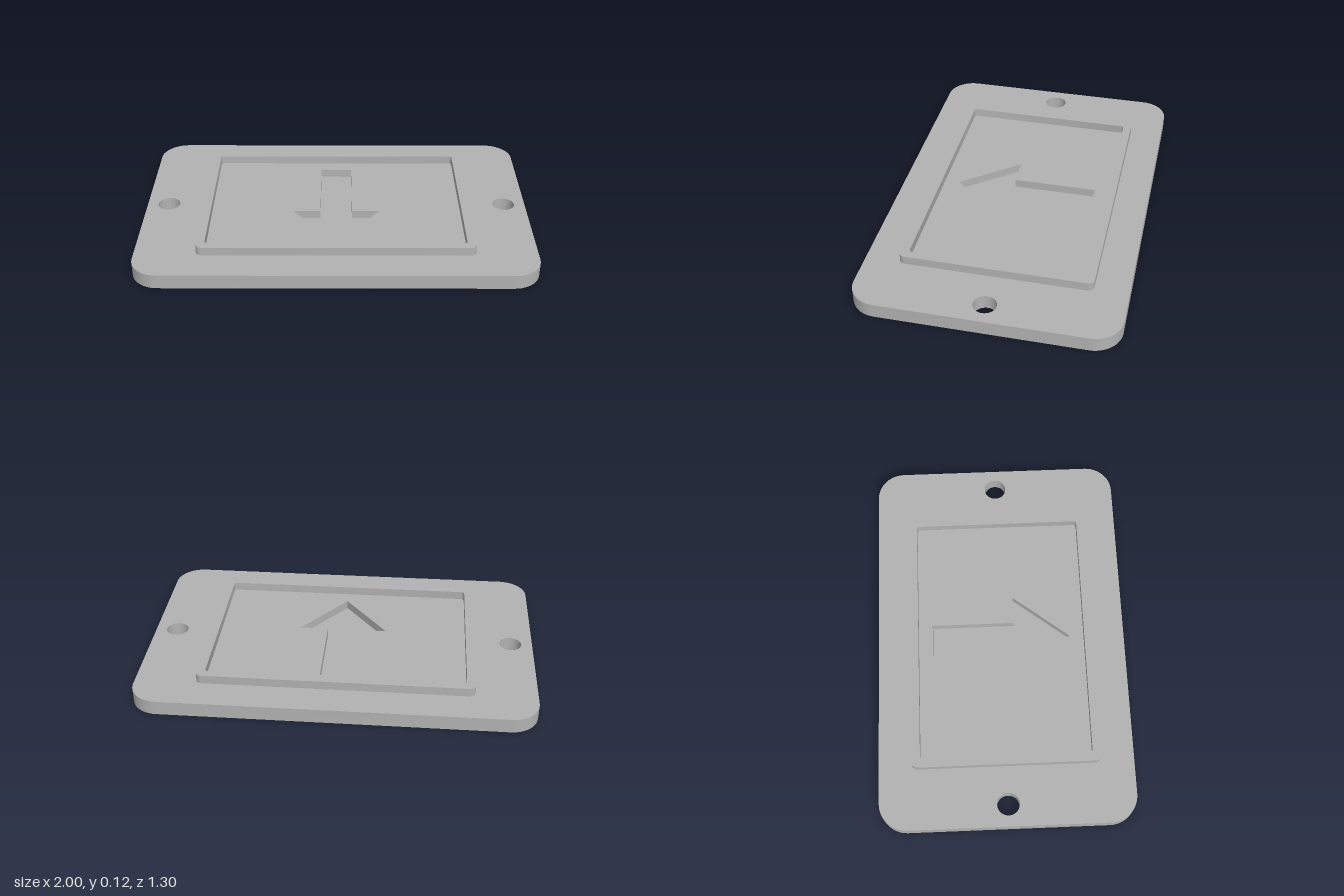
import * as THREE from 'three';
import { toCreasedNormals } from 'three/addons/utils/BufferGeometryUtils.js';

// Heights of the levels
const ARROW_FLOOR = 0.03, PLATE_TOP = 0.075, RIM_TOP = 0.12;

// Outlines are counter-clockwise loops of points, drawn as (x, -z)
function arc(cx, cy, r, start, sweep, steps) {
  return Array.from({ length: steps + 1 }, (_, i) => {
    const a = start + (sweep * i) / steps;
    return new THREE.Vector2(cx + r * Math.cos(a), cy + r * Math.sin(a));
  });
}

function roundedRect(hx, hy, r) {
  const q = Math.PI / 2;
  return [[1, 1], [-1, 1], [-1, -1], [1, -1]].flatMap(([sx, sy], i) =>
    arc(sx * (hx - r), sy * (hy - r), r, i * q, q, 12));
}

const circle = (cx, r) => arc(cx, 0, r, 0, Math.PI * 2, 48).slice(0, -1);

// Flat face with cut-outs at height y
function flat(outline, holes, y, down = false) {
  const shape = new THREE.Shape(outline);
  shape.holes = holes.map((h) => new THREE.Path(h));
  const geometry = new THREE.ShapeGeometry(shape);
  geometry.rotateX(down ? Math.PI / 2 : -Math.PI / 2);
  return geometry.translate(0, y, 0);
}

// Vertical wall along an outline, facing outwards or inwards
function wall(outline, y0, y1, inward = false) {
  const pts = inward ? [...outline].reverse() : outline;
  const pos = [];
  pts.forEach((a, i) => {
    const b = pts[(i + 1) % pts.length];
    pos.push(a.x, y0, -a.y, b.x, y0, -b.y, b.x, y1, -b.y);
    pos.push(a.x, y0, -a.y, b.x, y1, -b.y, a.x, y1, -a.y);
  });
  const geometry = new THREE.BufferGeometry();
  geometry.setAttribute('position', new THREE.Float32BufferAttribute(pos, 3));
  return toCreasedNormals(geometry, Math.PI / 6);
}

export function createModel() {
  const model = new THREE.Group();
  model.name = 'arrowPlate';
  const grey = new THREE.MeshStandardMaterial({ color: 0xb2b2b2 });
  grey.name = 'grey';

  const part = (name, geometries) => {
    const group = new THREE.Group();
    group.name = name;
    geometries.forEach((g, i) => {
      const mesh = new THREE.Mesh(g, grey);
      mesh.name = `${name}Surface${i + 1}`;
      group.add(mesh);
    });
    model.add(group);
  };

  const plate = roundedRect(1, 0.65, 0.14);
  const rimOuter = roundedRect(0.693, 0.48, 0.03);
  const rimInner = roundedRect(0.65, 0.437, 0.015);
  const screwHoles = [-0.887, 0.887].map((x) => circle(x, 0.057));
  const arrow = [
    [0, -0.362], [0.228, -0.07], [0.083, -0.07], [0.083, 0.363],
    [-0.083, 0.363], [-0.083, -0.07], [-0.228, -0.07],
  ].map(([x, y]) => new THREE.Vector2(x, y));

  // Base plate with rounded corners
  part('basePlate', [
    flat(plate, screwHoles, 0, true),
    flat(plate, [...screwHoles, rimOuter], PLATE_TOP),
    wall(plate, 0, PLATE_TOP),
  ]);

  // Screw holes through both ends
  part('screwHoles', screwHoles.map((h) => wall(h, 0, PLATE_TOP, true)));

  // Raised rim
  part('raisedRim', [
    wall(rimOuter, PLATE_TOP, RIM_TOP),
    flat(rimOuter, [rimInner], RIM_TOP),
    wall(rimInner, PLATE_TOP, RIM_TOP, true),
  ]);

  // Panel inside the rim, with the arrow sunk into it
  part('panel', [flat(rimInner, [arrow], PLATE_TOP)]);
  part('arrowRecess', [
    wall(arrow, ARROW_FLOOR, PLATE_TOP, true),
    flat(arrow, [], ARROW_FLOOR),
  ]);

  return model;
}
